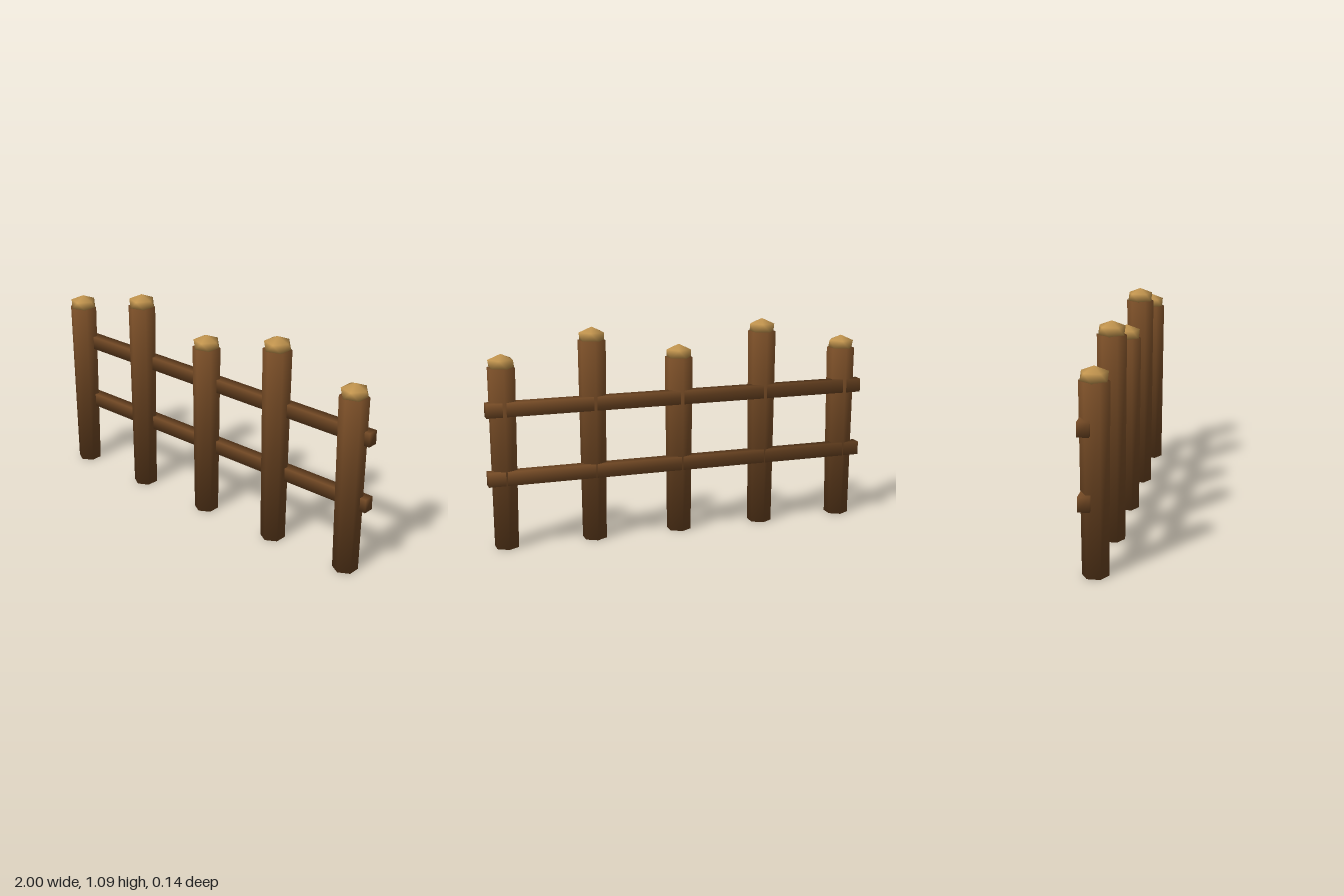
import * as THREE from 'three';
import { mergeVertices } from 'three/addons/utils/BufferGeometryUtils.js';

// Share vertices and blend normals softly across every edge.
function soften(geometry, normalAt) {
  geometry.deleteAttribute('uv');
  geometry.deleteAttribute('normal');
  const g = mergeVertices(geometry, 1e-4);
  g.computeVertexNormals();
  const p = g.attributes.position;
  const n = new THREE.Vector3();
  for (let i = 0; i < p.count; i++) {
    normalAt(n.fromBufferAttribute(p, i));
    n.normalize();
    g.attributes.normal.setXYZ(i, n.x, n.y, n.z);
  }
  return g;
}

// Six-sided post, slightly wider at the top.
function postGeometry(height) {
  return soften(new THREE.CylinderGeometry(0.072, 0.063, height, 6), (n) => {
    const r = Math.hypot(n.x, n.z) || 1;
    n.set((n.x / r) * 1.3, Math.sign(n.y), (n.z / r) * 1.3);
  });
}

// Squat faceted knob with one corner pointing up.
function capGeometry() {
  const g = new THREE.IcosahedronGeometry(0.073, 0);
  g.rotateX(-Math.atan((1 + Math.sqrt(5)) / 2));
  g.rotateY(Math.PI / 2);
  const s = 0.65;
  g.scale(1, s, 1);
  return soften(g, (n) => { n.y /= s * s; });
}

// Square-cut rail with soft corners.
function railGeometry() {
  return soften(new THREE.BoxGeometry(2, 0.07, 0.055), (n) => {
    n.set(Math.sign(n.x), Math.sign(n.y), Math.sign(n.z));
  });
}

export function createModel() {
  const group = new THREE.Group();
  group.name = 'fence';
  const wood = new THREE.MeshStandardMaterial({ color: 0x744a25 });
  wood.name = 'brown wood';
  const cutWood = new THREE.MeshStandardMaterial({ color: 0xc4964f });
  cutWood.name = 'pale wood';

  const add = (name, geometry, material, x, y, z) => {
    const mesh = new THREE.Mesh(geometry, material);
    mesh.name = name;
    mesh.position.set(x, y, z);
    group.add(mesh);
  };

  // Posts alternate short and tall, each topped by a cap.
  const cap = capGeometry();
  for (let i = 0; i < 5; i++) {
    const height = i % 2 ? 1.02 : 0.91;
    const x = (i - 2) * 0.455;
    add('post' + (i + 1), postGeometry(height), wood, x, height / 2, 0);
    add('postCap' + (i + 1), cap, cutWood, x, height + 0.019, 0);
  }

  // Two rails set into the back of the posts.
  const rail = railGeometry();
  add('lowerRail', rail, wood, 0, 0.365, -0.037);
  add('upperRail', rail, wood, 0, 0.71, -0.037);
  return group;
}
